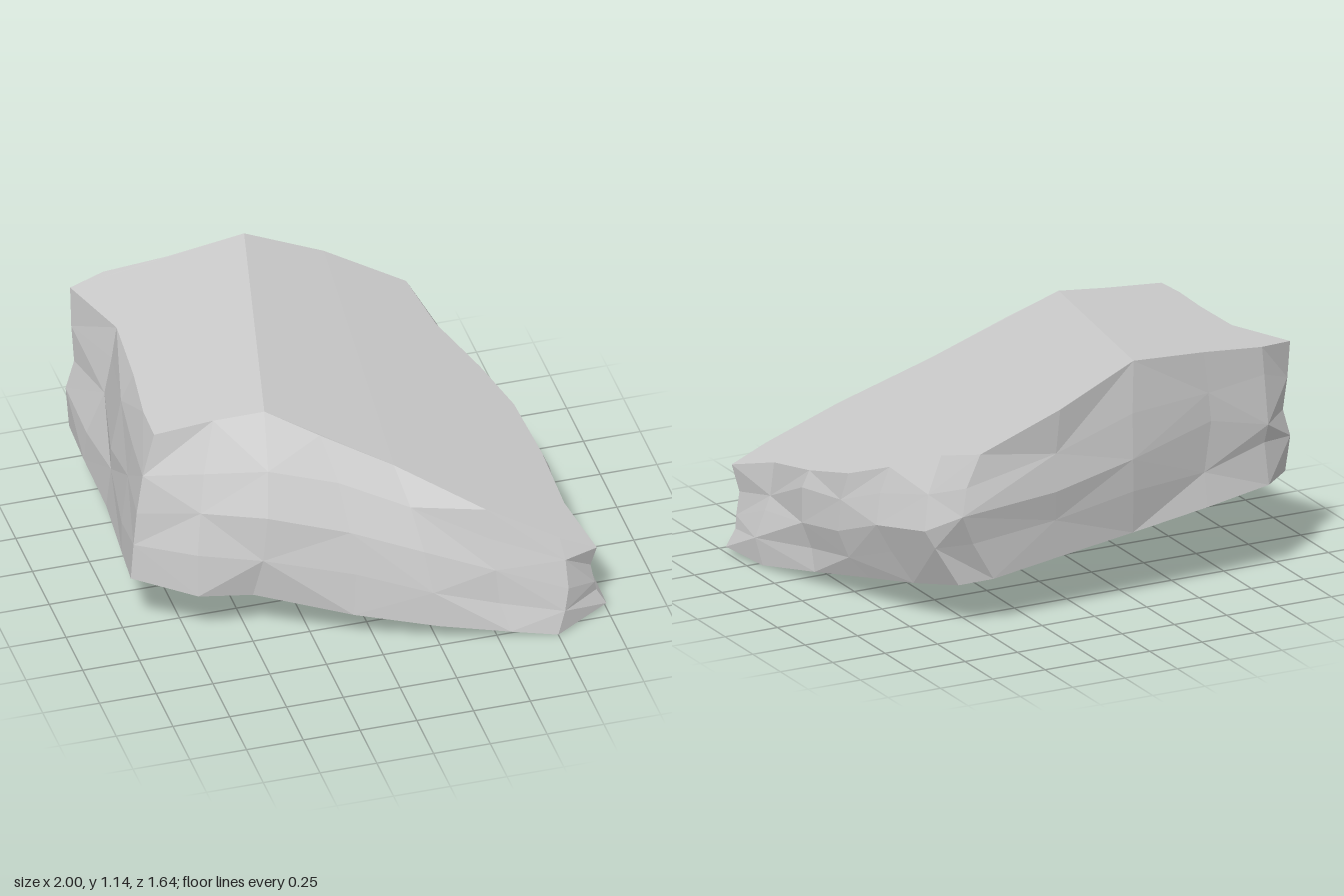
import * as THREE from 'three';

// Plan outlines [x, z], counterclockwise from the front left corner
const FOOT = [
  [-1, .37], [-.74, .5], [-.5, .5], [-.1, .65], [.25, .74], [.55, .79], [.75, .82], [1, .69],
  [.95, .45], [.86, .15], [.76, -.15], [.68, -.4], [.58, -.62], [.45, -.69], [.15, -.7],
  [-.2, -.72], [-.55, -.73], [-.85, -.72], [-.98, -.62], [-.98, -.4], [-.97, -.1], [-.99, .2]];
const WAIST = [
  [-.97, .36], [-.72, .45], [-.45, .54], [-.1, .6], [.2, .68], [.5, .73], [.8, .79], [.97, .72],
  [.94, .5], [.89, .2], [.85, -.05], [.8, -.3], [.72, -.58], [.62, -.74], [.2, -.78],
  [-.15, -.8], [-.55, -.76], [-.82, -.77], [-.96, -.68], [-.92, -.4], [-.94, -.1], [-.96, .15]];
const RIM = [
  [-.88, .31], [-.62, .31], [-.4, .33], [-.18, .41], [.12, .5], [.48, .66], [.78, .74], [.94, .75],
  [.87, .5], [.86, .2], [.82, -.08], [.73, -.28], [.6, -.5], [.54, -.74], [.2, -.82],
  [-.15, -.82], [-.5, -.79], [-.78, -.79], [-.94, -.74], [-.83, -.42], [-.85, -.1], [-.88, .15]];
const RIDGE_FRONT = 2, RIDGE_BACK = 15; // columns where the two top planes meet
const LEVELS = 4;

// Tilted underside, and a top made of a near-level and a sloping plane
const bottomY = (x, z) => Math.abs(.217 - .163 * x - .116 * z);
const topY = (x, z) => Math.min(1.106 + .08 * x - .06 * z, .93 - .46 * x - .175 * z);

function makeRandom(seed) {
  return () => {
    seed = (seed * 16807) % 2147483647;
    return seed / 2147483647 - .5;
  };
}

function rockGeometry() {
  const random = makeRandom(4217);
  const n = FOOT.length;

  // Rings from foot to rim, chipped in between; the front is smoother
  const rings = [];
  for (let level = 0; level <= LEVELS; level++) {
    const t = level / LEVELS;
    const inner = level > 0 && level < LEVELS;
    rings.push(FOOT.map((foot, i) => {
      const [x, z] = [0, 1].map(k =>
        foot[k] * (1 - t) * (1 - 2 * t) + WAIST[i][k] * 4 * t * (1 - t) + RIM[i][k] * t * (2 * t - 1));
      const low = bottomY(...foot), high = topY(...RIM[i]);
      const rough = !inner ? 0 : i < 7 ? .025 : .055;
      const push = 1 + rough * (random() - .15);
      const lift = rough * 1.5 * random();
      return new THREE.Vector3(x * push, low + (high - low) * t + lift, z * push);
    }));
  }

  const positions = [];
  const triangle = (a, b, c) => [a, b, c].forEach(p => positions.push(p.x, p.y, p.z));

  // Sides, with alternating diagonals
  for (let r = 0; r < LEVELS; r++) {
    for (let i = 0; i < n; i++) {
      const j = (i + 1) % n;
      const a = rings[r][i], b = rings[r][j], c = rings[r + 1][j], d = rings[r + 1][i];
      if ((i + r) % 2) {
        triangle(a, b, c);
        triangle(a, c, d);
      } else {
        triangle(a, b, d);
        triangle(b, c, d);
      }
    }
  }

  // Flat faces
  const cap = (points, up) => {
    const plan = points.map(p => new THREE.Vector2(p.x, -p.z));
    for (const [a, b, c] of THREE.ShapeUtils.triangulateShape(plan, [])) {
      if (up) triangle(points[a], points[b], points[c]);
      else triangle(points[a], points[c], points[b]);
    }
  };
  const rim = rings[LEVELS];
  cap(rim.slice(RIDGE_FRONT, RIDGE_BACK + 1), true);
  cap([...rim.slice(RIDGE_BACK), ...rim.slice(0, RIDGE_FRONT + 1)], true);
  cap(rings[0], false);

  const geometry = new THREE.BufferGeometry();
  geometry.setAttribute('position', new THREE.Float32BufferAttribute(positions, 3));
  geometry.computeVertexNormals();
  return geometry;
}

export function createModel() {
  const group = new THREE.Group();
  group.name = 'rock';
  const boulder = new THREE.Mesh(
    rockGeometry(),
    new THREE.MeshStandardMaterial({ color: 0xcccccc, flatShading: true }));
  boulder.name = 'boulder';
  group.add(boulder);
  return group;
}
